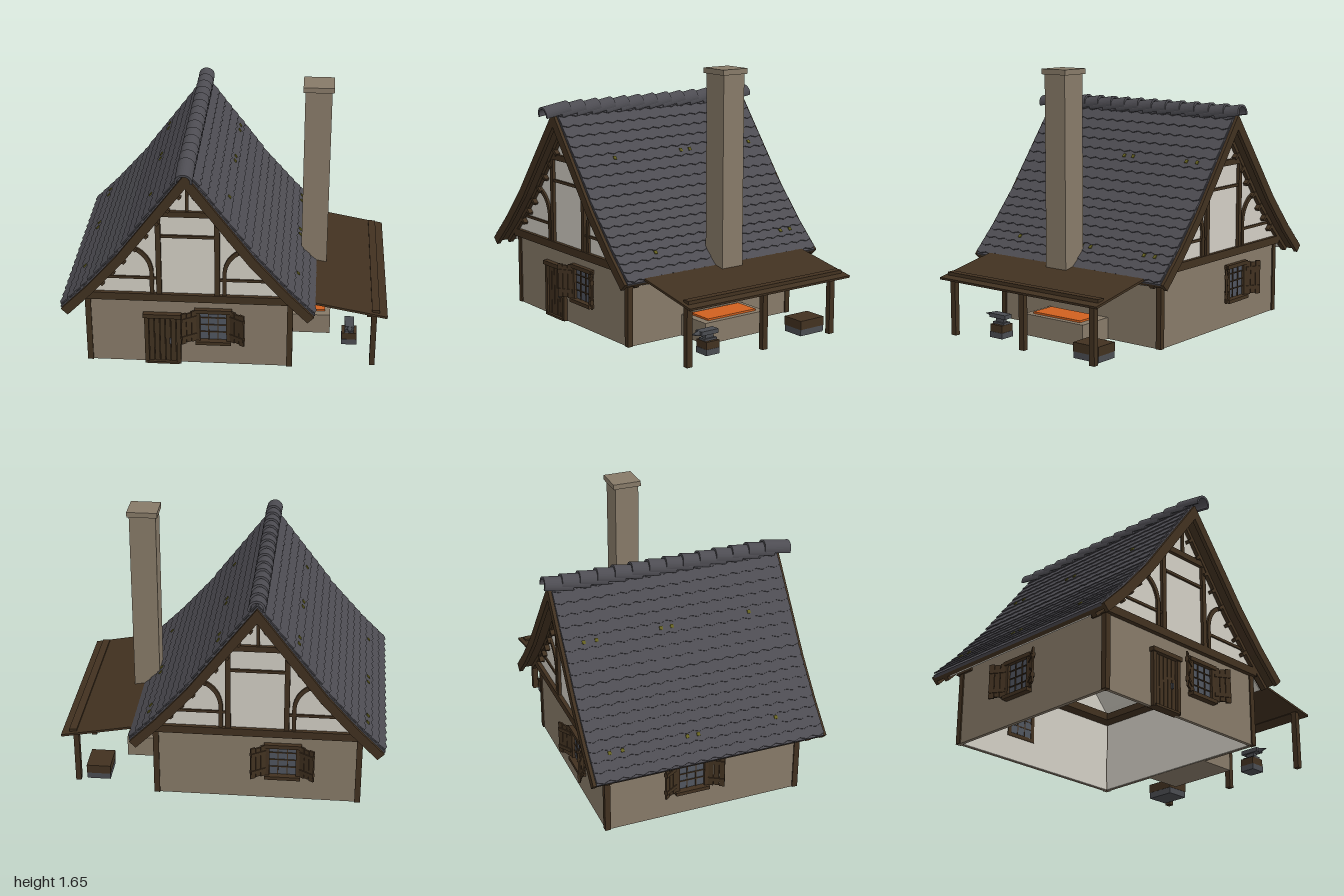
import * as THREE from 'three';

const mat = (name, color) => {
  const m = new THREE.MeshStandardMaterial({ color });
  m.name = name;
  return m;
};

// Roof slope from ridge to eave: [distance from ridge, height]
const SLOPE = [[0, 1.385], [0.43, 0.815], [0.62, 0.6], [0.78, 0.44]];

function segment(d) {
  let i = 0;
  while (i < SLOPE.length - 2 && d > SLOPE[i + 1][0]) i++;
  const [x0, y0] = SLOPE[i], [x1, y1] = SLOPE[i + 1];
  const len = Math.hypot(x1 - x0, y1 - y0);
  return { y: y0 + (y1 - y0) * (d - x0) / (x1 - x0), c: (x1 - x0) / len, s: (y0 - y1) / len };
}

// Slope line moved inwards by t
function offsetSlope(t) {
  return SLOPE.map(([x, y], i) => {
    const a = segment(Math.max(0, x - 0.01)), b = segment(Math.min(0.78, x + 0.01));
    if (i === 0) return [0, y - t / b.c];
    return [x - t * (a.s + b.s) / 2, y - t * (a.c + b.c) / 2];
  });
}

const toShape = pts => new THREE.Shape(pts.map(p => new THREE.Vector2(p[0], p[1])));
const bothSides = pts => [...pts.slice(1).reverse().map(([x, y]) => [-x, y]), ...pts];

export function createModel() {
  const slate = mat('slate', 0x4d4c52), wood = mat('dark timber', 0x413120);
  const stone = mat('stone', 0x877a68), plaster = mat('plaster', 0xd2cec4);
  const iron = mat('iron', 0x4a4c51), glass = mat('window glass', 0x50555f);
  const ember = mat('embers', 0xd0601f), moss = mat('moss', 0x66621f);

  const model = new THREE.Group();
  model.name = 'smithy';
  const group = (name, parent) => {
    const g = new THREE.Group();
    g.name = name;
    parent.add(g);
    return g;
  };
  const add = (parent, name, geometry, material) => {
    const m = new THREE.Mesh(geometry, material);
    m.name = name;
    parent.add(m);
    return m;
  };
  const box = (parent, name, material, x0, x1, y0, y1, z0, z1) => {
    const m = add(parent, name, new THREE.BoxGeometry(x1 - x0, y1 - y0, z1 - z0), material);
    m.position.set((x0 + x1) / 2, (y0 + y1) / 2, (z0 + z1) / 2);
    return m;
  };
  const extrude = (parent, name, shape, material, z0, z1) => {
    const g = new THREE.ExtrudeGeometry(shape, { depth: z1 - z0, bevelEnabled: false, curveSegments: 10 });
    return add(parent, name, g.translate(0, 0, z0), material);
  };

  const house = group('house', model);
  house.position.set(-0.222, 0, -0.015);

  // Walls, open underneath, plastered inside
  for (const s of [-1, 1]) {
    const zs = (a, b) => s > 0 ? [a, b] : [-b, -a];
    box(house, 'endWall', stone, -0.635, 0.635, 0, 0.46, ...zs(0.615, 0.635));
    box(house, 'sideWall', stone, ...zs(0.615, 0.635), 0, 0.5, -0.615, 0.615);
    box(house, 'endPlaster', plaster, -0.615, 0.615, 0.002, 0.46, ...zs(0.609, 0.615));
    box(house, 'sidePlaster', plaster, ...zs(0.609, 0.615), 0.002, 0.5, -0.609, 0.609);
    box(house, 'wallPlate', wood, ...zs(0.53, 0.615), 0.455, 0.5, -0.6, 0.6);
    for (const x of [-0.625, 0.625]) {
      box(house, 'cornerPost', wood, x - 0.018, x + 0.018, 0, 0.46, ...zs(0.607, 0.643));
    }
  }

  // Half-timbered gables
  function gable(parent) {
    const g = group('gable', parent);
    const edge = offsetSlope(0.03).filter(p => p[1] > 0.52);
    edge.push([0.64, 0.52], [0.64, 0.47]);
    extrude(g, 'gablePlaster', toShape(bothSides(edge)), plaster, 0.615, 0.64);
    box(g, 'tieBeam', wood, -0.65, 0.65, 0.455, 0.505, 0.53, 0.665);
    box(g, 'collarBeam', wood, -0.19, 0.19, 1.038, 1.075, 0.63, 0.662);
    box(g, 'rail', wood, -0.17, 0.17, 0.892, 0.91, 0.63, 0.653);
    box(g, 'kingPost', wood, -0.01, 0.01, 1.07, 1.3, 0.63, 0.653);
    for (const s of [-1, 1]) {
      box(g, 'post', wood, s * 0.178 - 0.016, s * 0.178 + 0.016, 0.5, 1.05, 0.63, 0.66);
      box(g, 'sideRail', wood, s * 0.375 - 0.185, s * 0.375 + 0.185, 0.6, 0.617, 0.63, 0.65);
      // Curved brace
      const arc = new THREE.Shape();
      arc.moveTo(s * 0.21, 0.5);
      arc.lineTo(s * 0.21, 0.66);
      arc.quadraticCurveTo(s * 0.225, 0.81, s * 0.38, 0.845);
      arc.lineTo(s * 0.38, 0.82);
      arc.quadraticCurveTo(s * 0.245, 0.78, s * 0.235, 0.66);
      arc.lineTo(s * 0.235, 0.5);
      extrude(g, 'curvedBrace', arc, wood, 0.63, 0.655);
      // Pegs under the rafters
      for (let i = 0; i < 8; i++) {
        const d = 0.12 + i * 0.068, q = segment(d);
        const peg = add(g, 'peg', new THREE.BoxGeometry(0.02, 0.05, 0.03), wood);
        peg.position.set(s * (d - 0.078 * q.s), q.y - 0.078 * q.c, 0.655);
        peg.rotation.z = -s * Math.atan2(q.s, q.c);
      }
    }
    band(g, 'rafters', wood, 0.03, 0.068, 0.63, 0.665);
    band(g, 'bargeboards', wood, 0.012, 0.068, 0.73, 0.755);
    return g;
  }
  function band(parent, name, material, a, b, z0, z1) {
    const pts = [...bothSides(offsetSlope(a)), ...bothSides(offsetSlope(b)).reverse()];
    return extrude(parent, name, toShape(pts), material, z0, z1);
  }
  gable(house);
  gable(house).rotation.y = Math.PI;

  // Roof layers
  const roof = group('roof', house);
  band(roof, 'roofSlab', slate, 0.004, 0.022, -0.735, 0.735);
  band(roof, 'roofDeck', wood, 0.022, 0.045, -0.73, 0.73);
  band(roof, 'ceilingLining', plaster, 0.045, 0.052, -0.61, 0.61);

  // Lays a flat part on one slope: local y runs uphill, local z points out
  function lay(mesh, side, d, z, lift) {
    const { y, c, s } = segment(d - 0.001);
    const m = new THREE.Matrix4().makeBasis(
      new THREE.Vector3(0, 0, -side), new THREE.Vector3(-side * c, s, 0), new THREE.Vector3(side * s, c, 0));
    m.setPosition(side * (d + lift * s), y + lift * c, z);
    mesh.applyMatrix4(m);
  }

  // Slate courses with zigzag lower edges
  const course = [[-0.735, 0.085]];
  for (let i = 0; i <= 36; i++) course.push([-0.735 + i * 1.47 / 36, i % 2 ? 0 : 0.014]);
  course.push([0.735, 0.085]);
  const courseGeo = new THREE.ExtrudeGeometry(toShape(course), { depth: 0.007, bevelEnabled: false });
  courseGeo.rotateX(-0.09);
  for (const side of [-1, 1]) {
    for (let i = 1; i <= 18; i++) {
      lay(add(roof, 'slateCourse', courseGeo, slate), side, 0.78 * i / 18, 0, 0.003);
    }
    for (const d of [0.233, 0.66]) {
      for (const z of [0.44, -0.07, -0.14, -0.55, -0.63]) {
        lay(add(roof, 'mossPatch', new THREE.BoxGeometry(0.02, 0.022, 0.006), moss), side, d, z + 0.015, 0.01);
      }
    }
  }

  // Overlapping ridge tiles
  const tile = new THREE.Shape();
  tile.absarc(0, 0, 0.052, -0.3, Math.PI + 0.3, false);
  tile.absarc(0, 0, 0.038, Math.PI + 0.3, -0.3, true);
  const tileGeo = new THREE.ExtrudeGeometry(tile, { depth: 0.18, bevelEnabled: false, curveSegments: 10 });
  tileGeo.translate(0, 0, -0.09);
  for (let i = 0; i < 14; i++) {
    const t = add(roof, 'ridgeTile', tileGeo, slate);
    t.position.set(0, 1.364, 0.735 - i * 0.11);
    t.rotation.x = 0.16;
  }

  // Shuttered windows, built facing +z on the wall plane
  function shutteredWindow(x, z, turn) {
    const w = group('window', house);
    box(w, 'glass', glass, -0.085, 0.085, 0.18, 0.39, -0.028, 0.004);
    for (const s of [-1, 1]) {
      box(w, 'jamb', wood, s * 0.094 - 0.013, s * 0.094 + 0.013, 0.17, 0.395, -0.03, 0.022);
      box(w, 'mullion', wood, s * 0.029 - 0.003, s * 0.029 + 0.003, 0.18, 0.385, -0.03, 0.01);
      // Shutter half open
      const sh = group('shutter', w);
      sh.position.set(s * 0.105, 0, 0.015);
      sh.rotation.y = -s * 0.55;
      for (let i = 0; i < 3; i++) {
        const c = s * (0.018 + i * 0.035);
        box(sh, 'shutterPlank', wood, c - 0.016, c + 0.016, 0.175 + (i % 2) * 0.006, 0.392 - (i % 2) * 0.006, -0.006, 0.006);
      }
      for (const y of [0.22, 0.345]) {
        box(sh, 'shutterBatten', wood, s * 0.053 - 0.05, s * 0.053 + 0.05, y - 0.012, y + 0.012, -0.012, 0.012);
      }
    }
    for (const y of [0.235, 0.285, 0.335]) box(w, 'glazingBar', wood, -0.085, 0.085, y - 0.003, y + 0.003, -0.03, 0.01);
    box(w, 'lintel', wood, -0.115, 0.115, 0.375, 0.4, -0.03, 0.03);
    box(w, 'sill', wood, -0.11, 0.11, 0.155, 0.178, -0.03, 0.04);
    w.position.set(x, 0, z);
    w.rotation.y = turn;
  }
  shutteredWindow(0.152, 0.635, 0);
  shutteredWindow(-0.158, -0.635, Math.PI);
  shutteredWindow(-0.635, -0.085, -Math.PI / 2);

  // Plank door
  const door = group('door', house);
  door.position.set(-0.163, 0, 0.635);
  box(door, 'doorBack', wood, -0.09, 0.09, 0.01, 0.34, -0.03, 0.004);
  for (let i = 0; i < 5; i++) box(door, 'doorPlank', wood, -0.085 + i * 0.034, -0.055 + i * 0.034, 0.012, 0.33, 0, 0.012);
  for (const s of [-1, 1]) box(door, 'doorJamb', wood, s * 0.1 - 0.013, s * 0.1 + 0.013, 0, 0.345, -0.03, 0.025);
  box(door, 'doorLintel', wood, -0.12, 0.12, 0.333, 0.36, -0.03, 0.035);
  box(door, 'threshold', wood, -0.1, 0.1, 0, 0.014, -0.03, 0.03);
  box(door, 'handle', iron, 0.042, 0.054, 0.145, 0.18, 0.01, 0.025);

  // Chimney, hood and forge
  const forge = group('forge', model);
  box(forge, 'chimney', stone, 0.455, 0.62, 0.405, 1.63, -0.09, 0.067);
  box(forge, 'chimneyCap', stone, 0.443, 0.632, 1.622, 1.655, -0.105, 0.08);
  const hood = add(forge, 'hood', new THREE.CylinderGeometry(0.05 * Math.SQRT2, 0.13 * Math.SQRT2, 0.12, 4).rotateY(Math.PI / 4).toNonIndexed(), stone);
  hood.geometry.computeVertexNormals();
  hood.position.set(0.54, 0.36, -0.012);
  box(forge, 'hearth', stone, 0.41, 0.655, 0, 0.135, -0.25, 0.222);
  box(forge, 'emberBed', ember, 0.45, 0.62, 0.125, 0.147, -0.2, 0.175);

  // Lean-to
  const leanTo = group('leanTo', model);
  const cover = add(leanTo, 'leanToRoof', new THREE.BoxGeometry(0.475, 0.014, 1.24), wood);
  cover.position.set(0.766, 0.409, -0.016);
  cover.rotation.z = -0.185;
  box(leanTo, 'leanToBeam', wood, 0.905, 0.952, 0.372, 0.402, -0.61, 0.58);
  for (const z of [0.557, -0.01, -0.55]) box(leanTo, 'leanToPost', wood, 0.903, 0.937, 0, 0.39, z - 0.019, z + 0.019);

  // Anvil on its block
  const anvil = group('anvil', model);
  box(anvil, 'blockFoot', iron, 0.728, 0.828, 0, 0.037, 0.25, 0.35);
  box(anvil, 'block', wood, 0.73, 0.826, 0.037, 0.083, 0.252, 0.348);
  box(anvil, 'anvilBase', iron, 0.75, 0.806, 0.083, 0.096, 0.255, 0.345);
  box(anvil, 'anvilWaist', iron, 0.763, 0.793, 0.095, 0.122, 0.27, 0.33);
  box(anvil, 'anvilTop', iron, 0.748, 0.808, 0.12, 0.146, 0.243, 0.37);
  const horn = add(anvil, 'horn', new THREE.ConeGeometry(0.017, 0.065, 8).rotateX(Math.PI / 2), iron);
  horn.position.set(0.778, 0.131, 0.4);

  // Water trough
  const trough = group('trough', model);
  box(trough, 'troughFoot', iron, 0.72, 0.868, 0, 0.04, -0.543, -0.358);
  box(trough, 'troughBody', wood, 0.718, 0.87, 0.04, 0.096, -0.545, -0.356);

  return model;
}
